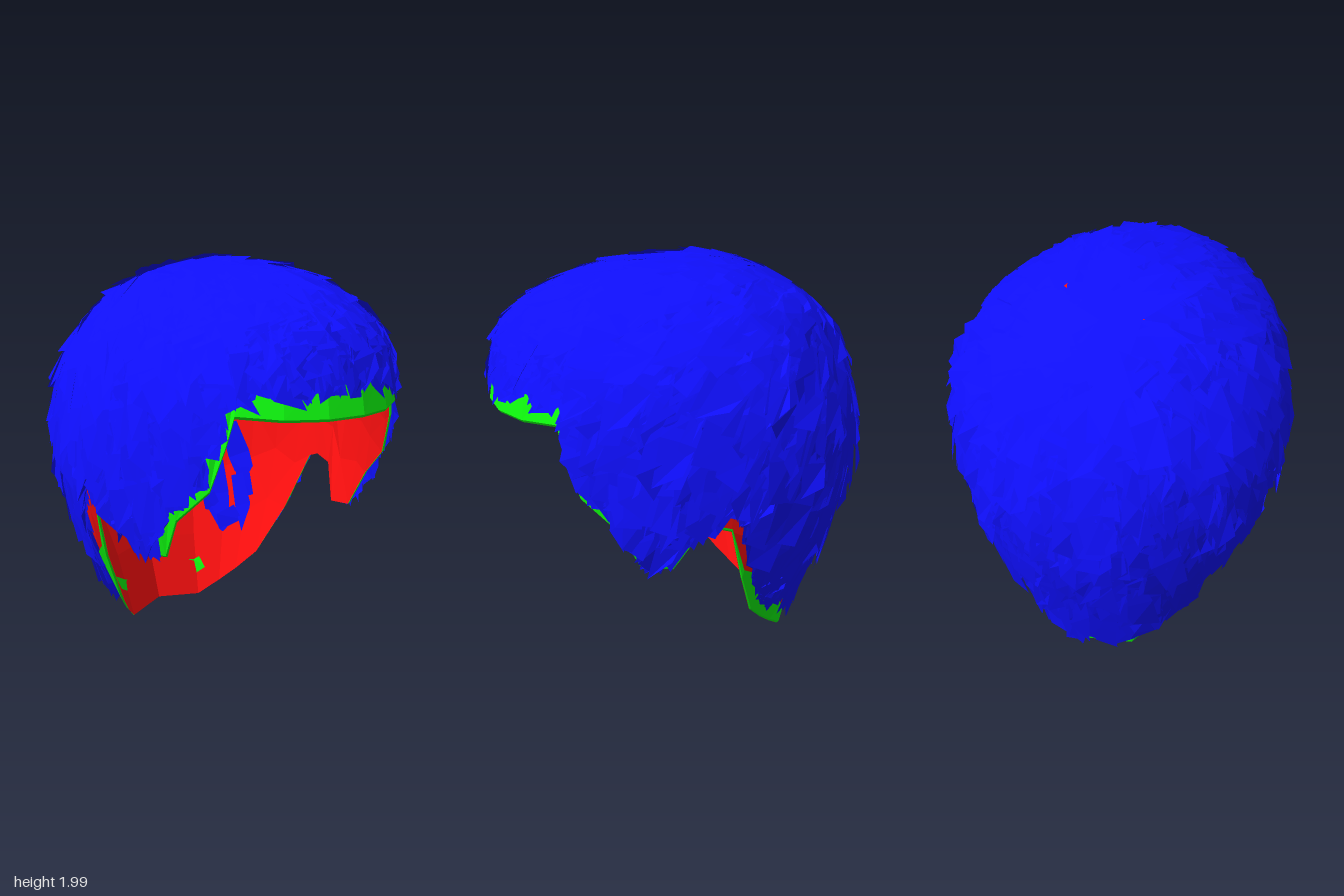
import * as THREE from 'three';

// Head sections: height, half width, front depth, back depth (from z = ZC)
const ZC = -0.05;
const TOP = 1.99;
const RINGS = [
  [0, 0.5, 0.9, 0.56], [0.1, 0.48, 0.92, 0.58], [0.2, 0.51, 0.95, 0.61], [0.4, 0.6, 1, 0.68],
  [0.6, 0.68, 1, 0.75], [0.8, 0.75, 1, 0.81], [1, 0.79, 1, 0.84], [1.2, 0.8, 1.01, 0.84],
  [1.4, 0.78, 0.99, 0.81], [1.6, 0.71, 0.95, 0.73], [1.7, 0.65, 0.89, 0.67], [1.8, 0.55, 0.78, 0.57],
  [1.9, 0.4, 0.58, 0.41], [1.95, 0.26, 0.4, 0.28], [1.98, 0.1, 0.16, 0.12], [TOP, 0.002, 0.002, 0.002],
];
// Hem line: angle from the front, height, height of the outer band
const HEM = [
  [0, 1.33, 0.2], [0.25, 1.33, 0.2], [0.5, 1.335, 0.2], [0.74, 1.35, 0.2], [0.78, 1.22, 0.2],
  [0.86, 1.02, 0.2], [1.05, 0.87, 0.2], [1.16, 0.68, 0.2], [1.32, 0.66, 0.1], [1.42, 0.85, 0.02],
  [1.52, 0.88, 0.02], [1.58, 0.86, 0.02], [1.71, 0.55, 0.06], [1.9, 0.28, 0.25], [2.1, 0.17, 0.25],
  [2.3, 0.09, 0.2], [2.6, 0, 0.2], [Math.PI, 0.02, 0.2],
];

function lookup(table, key, col) {
  let i = 1;
  while (i < table.length - 1 && table[i][0] < key) i++;
  const a = table[i - 1], b = table[i];
  const t = THREE.MathUtils.clamp((key - a[0]) / (b[0] - a[0]), 0, 1);
  return a[col] + (b[col] - a[col]) * t;
}

const hemAt = (a) => lookup(HEM, Math.abs(a), 1);

// Point on the head at an angle and height, pulled in by an inset
function headPoint(a, y, inset) {
  const c = Math.cos(a);
  const w = Math.max(lookup(RINGS, y, 1) - inset, 0.001);
  const d = Math.max(lookup(RINGS, y, c > 0 ? 2 : 3) - inset, 0.001);
  return new THREE.Vector3(w * Math.sin(a), y - inset * Math.max(0, (y - 1.1) / 0.9), ZC + d * c);
}

// Angle around the head for any point
function angleOf(p) {
  const d = lookup(RINGS, p.y, p.z > ZC ? 2 : 3);
  return Math.atan2(p.x / lookup(RINGS, p.y, 1), (p.z - ZC) / d);
}

// Push a point along its ray from the head centre onto the surface
const CENTER = new THREE.Vector3(0, 1.1, ZC);
function project(p, offset) {
  const dir = p.clone().sub(CENTER).normalize();
  const q = new THREE.Vector3();
  let lo = 0, hi = 1.6;
  for (let i = 0; i < 22; i++) {
    const mid = (lo + hi) / 2;
    q.copy(CENTER).addScaledVector(dir, mid);
    const w = lookup(RINGS, q.y, 1), d = lookup(RINGS, q.y, q.z > ZC ? 2 : 3);
    const inside = q.y < TOP && (q.x / w) ** 2 + ((q.z - ZC) / d) ** 2 < 1;
    if (inside) lo = mid; else hi = mid;
  }
  return q.copy(CENTER).addScaledVector(dir, lo + offset);
}

function makeMesh(name, points, index, color) {
  const geo = new THREE.BufferGeometry().setFromPoints(points);
  geo.setIndex(index);
  const flat = geo.toNonIndexed();
  flat.computeVertexNormals();
  const mat = new THREE.MeshStandardMaterial({ color, flatShading: true, side: THREE.DoubleSide });
  const mesh = new THREE.Mesh(flat, mat);
  mesh.name = name;
  return mesh;
}

// Closed sheet around the head: one column per hem angle, mirrored
function sheet(name, rows, pointAt, color) {
  const half = HEM.map((h) => h[0]);
  const angles = [...half.slice(1, -1).reverse().map((a) => -a), ...half];
  const n = angles.length, points = [], index = [];
  for (let r = 0; r <= rows; r++) for (const a of angles) points.push(pointAt(a, r / rows));
  for (let r = 0; r < rows; r++) {
    for (let i = 0; i < n; i++) {
      const a = r * n + i, b = r * n + (i + 1) % n;
      index.push(a, b, b + n, a, b + n, a + n);
    }
  }
  return makeMesh(name, points, index, color);
}

function seeded(seed) {
  return () => {
    seed = (seed * 1664525 + 1013904223) % 4294967296;
    return seed / 4294967296;
  };
}

// Overlapping locks combed away from the whorl
function makeLocks() {
  const rand = seeded(11);
  const jitter = (size) => (rand() - 0.5) * size;
  const whorl = new THREE.Vector3(-0.05, 1.85, -0.5);
  const points = [], index = [], count = 1900;
  for (let i = 0; i < count; i++) {
    const y = 1 - (2 * (i + 0.5)) / count, r = Math.sqrt(1 - y * y), t = i * 2.399963;
    const ray = new THREE.Vector3(r * Math.cos(t) + jitter(0.06), y, r * Math.sin(t) + jitter(0.06));
    const root = project(ray.add(CENTER), 0);
    const angle = Math.abs(angleOf(root));
    const overEar = angle > 1.22 && angle < 1.55;
    const temple = angle > 0.75 && angle <= 1.22;
    if (root.y < hemAt(angle) + (overEar || temple ? 0.04 : 0.12)) continue;

    // Combing direction along the surface
    const out = root.clone().sub(CENTER).normalize();
    const dir = root.clone().sub(whorl).normalize();
    if (root.y < 1.5) dir.y -= 0.6;
    dir.x += jitter(0.7);
    dir.z += jitter(0.7);
    dir.addScaledVector(out, -dir.dot(out)).normalize();
    const side = new THREE.Vector3().crossVectors(dir, out);

    const width = 0.04 + rand() * 0.045;
    const skew = jitter(0.12), twist = jitter(0.025);
    const inner = root.z < -0.1 && root.y < 1.45 && Math.abs(root.x) < 0.6
      && rand() < (root.y > 0.85 ? 0.26 : 0.07);
    const rootLift = inner ? -0.075 : -0.03 + rand() * 0.015;
    const loose = out.y > 0.75 || root.z > 0.45 ? 0.02 : 0.055;
    const tipLift = inner ? -0.05 + rand() * 0.05 : -0.015 + rand() ** 2 * loose;
    const build = (len) => {
      const pts = [];
      for (let k = 0; k < 3; k++) {
        for (const s of [-1, 1]) {
          const w = width * [0.8, 1, 0.75][k] * s;
          const along = (len * k) / 2 - 0.06 + (k === 2 ? skew * s : 0);
          const p = root.clone().addScaledVector(dir, along).addScaledVector(side, w);
          const lift = rootLift + ((tipLift - rootLift) * k) / 2;
          pts.push(project(p, lift + (k * twist * s) / 2));
        }
      }
      return pts;
    };
    // Shorten the lock until it stays above the hem
    const margin = overEar ? -0.02 : temple ? rand() * 0.04 : 0.03 + rand() * 0.07;
    const fits = (pts) => pts.every((p) => p.y > hemAt(angleOf(p)) + margin);
    let len = 0.26 + rand() * 0.2, pts = build(len);
    while (len > 0.1 && !fits(pts)) pts = build((len -= 0.03));
    if (len <= 0.1) continue;
    const b = points.length;
    points.push(...pts);
    for (const k of [0, 2]) index.push(b + k, b + k + 1, b + k + 3, b + k, b + k + 3, b + k + 2);
  }
  return makeMesh('hairLocks', points, index, 0x0f0fff);
}

export function createModel() {
  const group = new THREE.Group();
  group.name = 'hair';

  // Inner cap from hem to crown
  group.add(sheet('innerCap', 9, (a, v) => {
    const hem = hemAt(a);
    return headPoint(a, hem + (TOP - hem) * Math.sin((v * Math.PI) / 2), 0.045);
  }, 0xff0f0f));

  // Outer band along the hem
  group.add(sheet('hemBand', 2, (a, v) => {
    const rise = [0, 0.01, lookup(HEM, Math.abs(a), 2)][v * 2];
    return headPoint(a, hemAt(a) + rise, v === 0 ? 0.043 : 0.033);
  }, 0x0fff0f));

  group.add(makeLocks());
  return group;
}
